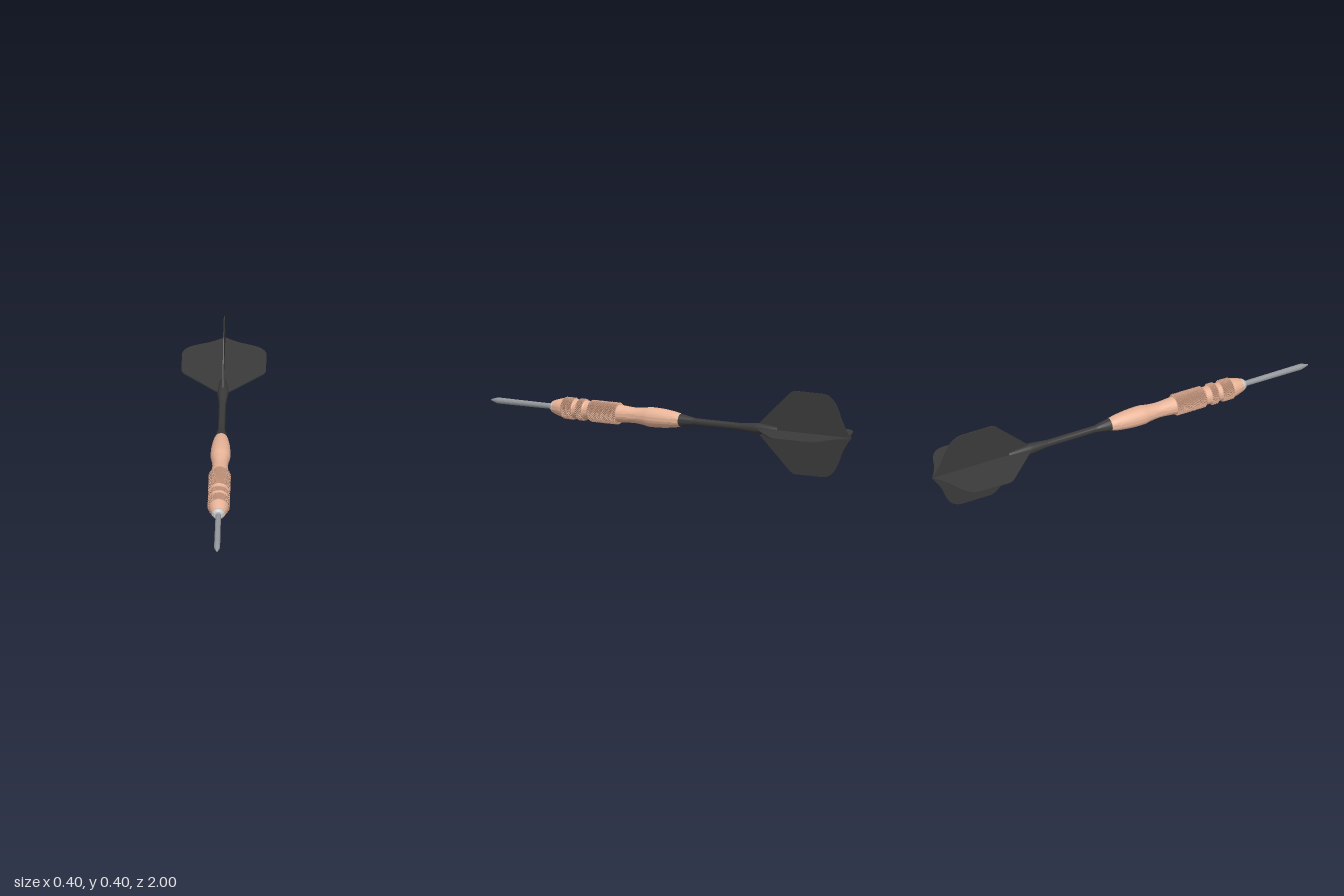
import * as THREE from 'three';
import { toCreasedNormals } from 'three/addons/utils/BufferGeometryUtils.js';

const AXIS_Y = 0.2;
const copper = new THREE.MeshStandardMaterial({ color: 0xe8b498 });
const copperKnurl = new THREE.MeshStandardMaterial({ color: 0xc4957c, flatShading: true });
const steel = new THREE.MeshStandardMaterial({ color: 0x94979b });
const collarSteel = new THREE.MeshStandardMaterial({ color: 0xc4c6c8 });
const black = new THREE.MeshStandardMaterial({ color: 0x3a3a3a });

// Turned part along z; profile is [z, radius] from back to front
function turned(name, profile, material, sides = 40) {
  const pts = profile.map(([z, r]) => new THREE.Vector2(r, z));
  const geo = new THREE.LatheGeometry(pts, sides).rotateX(Math.PI / 2);
  const mesh = new THREE.Mesh(toCreasedNormals(geo, 0.5), material);
  mesh.name = name;
  return mesh;
}

// Band of small diamond pyramids: every second grid point is raised
function knurl(z0, z1) {
  const cols = 64, rows = Math.round((z1 - z0) / 0.0055);
  const low = 0.047, high = 0.0535, pos = [], index = [];
  for (let j = 0; j <= rows; j++) {
    for (let i = 0; i < cols; i++) {
      const a = (i / cols) * Math.PI * 2;
      const edge = j === 0 || j === rows;
      const r = !edge && (i + j) % 2 === 0 ? high : low;
      pos.push(Math.cos(a) * r, Math.sin(a) * r, z0 + ((z1 - z0) * j) / rows);
    }
  }
  for (let j = 0; j < rows; j++) {
    for (let i = 0; i < cols; i++) {
      const n = (i + 1) % cols;
      const a = j * cols + i, b = j * cols + n, c = a + cols, d = b + cols;
      // split each cell along its low corners
      if ((i + j) % 2 === 0) index.push(a, b, c, b, d, c);
      else index.push(a, b, d, a, d, c);
    }
  }
  const geo = new THREE.BufferGeometry();
  geo.setAttribute('position', new THREE.Float32BufferAttribute(pos, 3));
  geo.setIndex(index);
  geo.computeVertexNormals();
  const mesh = new THREE.Mesh(geo, copperKnurl);
  mesh.name = 'knurledBand';
  return mesh;
}

// One fin, outlined by distance to the back and distance from the axis
function flightGeometry() {
  const s = new THREE.Shape();
  s.moveTo(0.45, 0);
  s.lineTo(0.48, 0.018);
  s.lineTo(0.655, 0.183);
  s.quadraticCurveTo(0.672, 0.2, 0.695, 0.2);
  s.lineTo(0.84, 0.2);
  s.bezierCurveTo(0.9, 0.197, 0.922, 0.15, 0.942, 0.095);
  s.bezierCurveTo(0.955, 0.06, 0.978, 0.03, 1.0, 0);
  s.closePath();
  const t = 0.005;
  const geo = new THREE.ExtrudeGeometry(s, { depth: t, bevelEnabled: false, curveSegments: 12 });
  return geo.translate(0, 0, -t / 2).rotateY(Math.PI / 2);
}

export function createModel() {
  const model = new THREE.Group();
  model.name = 'dart';
  const body = new THREE.Group();
  body.name = 'dartBody';
  body.position.y = AXIS_Y;
  model.add(body);

  // Needle point and its collar
  body.add(turned('needle', [[0.63, 0.013], [0.955, 0.0145], [0.963, 0.014], [0.996, 0.004], [1, 0]], steel, 20));
  body.add(turned('needleCollar', [[0.63, 0.03], [0.65, 0.029], [0.662, 0.02], [0.664, 0]], collarSteel, 32));

  // Barrel: smooth waist at the back, stepped grip at the front
  const waist = new THREE.SplineCurve([
    [-0.055, 0.031], [-0.02, 0.038], [0.04, 0.045], [0.11, 0.047],
    [0.15, 0.041], [0.2, 0.037], [0.25, 0.04], [0.285, 0.043],
  ].map(([z, r]) => new THREE.Vector2(z, r))).getPoints(32).map((p) => [p.x, p.y]);
  body.add(turned('barrel', [
    [-0.055, 0], ...waist,
    [0.285, 0.047], [0.44, 0.047], [0.445, 0.044], [0.465, 0.044], [0.47, 0.047],
    [0.505, 0.047], [0.51, 0.044], [0.525, 0.044], [0.53, 0.047],
    [0.59, 0.047], [0.615, 0.041], [0.645, 0.031], [0.645, 0],
  ], copper, 48));
  for (const [z0, z1] of [[0.284, 0.44], [0.47, 0.506], [0.528, 0.588]]) body.add(knurl(z0, z1));

  // Shaft and the tapered socket gripping the fins
  body.add(turned('shaft', [
    [-0.4, 0], [-0.4, 0.017], [-0.135, 0.017], [-0.12, 0.02], [-0.055, 0.031], [-0.05, 0],
  ], black, 32));
  body.add(turned('flightSocket', [
    [-0.595, 0], [-0.595, 0.014], [-0.585, 0.017], [-0.49, 0.027], [-0.47, 0.026], [-0.39, 0.018], [-0.385, 0],
  ], black, 24));

  // Four fins
  const fin = flightGeometry();
  for (let i = 0; i < 4; i++) {
    const mesh = new THREE.Mesh(fin, black);
    mesh.name = 'flight';
    mesh.rotation.z = (i * Math.PI) / 2;
    body.add(mesh);
  }
  return model;
}
